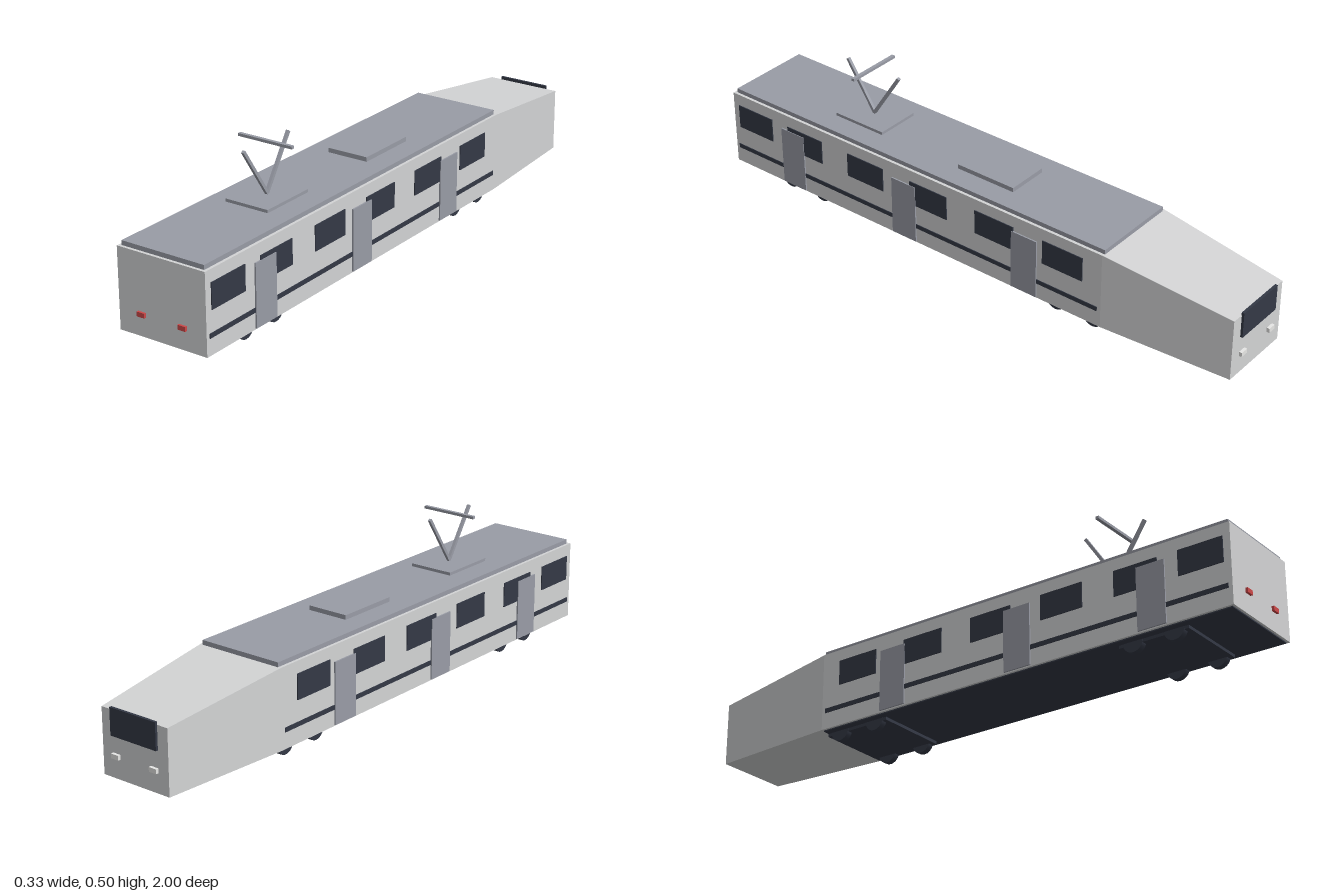
import * as THREE from 'three';

const mat = (name, color) => {
  const m = new THREE.MeshStandardMaterial({ color });
  m.name = name;
  return m;
};

export function createModel() {
  const shell = mat('pale grey shell', 0xd3d4d5);
  const grey = mat('mid grey', 0x999ca6);
  const dark = mat('dark slate', 0x343946);
  const red = mat('tail light red', 0xcc4848);
  const white = mat('headlight white', 0xe8e8e6);

  const tram = new THREE.Group();
  tram.name = 'tram';

  const add = (name, geometry, material, x = 0, y = 0, z = 0, parent = tram) => {
    const mesh = new THREE.Mesh(geometry, material);
    mesh.name = name;
    mesh.position.set(x, y, z);
    parent.add(mesh);
    return mesh;
  };
  // Box given by its extents along each axis
  const block = (name, material, [x0, x1], [y0, y1], [z0, z1], parent = tram) =>
    add(name, new THREE.BoxGeometry(x1 - x0, y1 - y0, z1 - z0), material,
      (x0 + x1) / 2, (y0 + y1) / 2, (z0 + z1) / 2, parent);

  // Passenger body, underframe and roof
  block('body', shell, [-0.16, 0.16], [0.038, 0.302], [-0.54, 0.99]);
  block('underframe', dark, [-0.152, 0.152], [0.034, 0.04], [-0.537, 0.982]);
  block('roof', grey, [-0.15, 0.15], [0.3, 0.317], [-0.543, 0.98]);
  block('roofUnit', grey, [-0.073, 0.073], [0.315, 0.332], [-0.135, 0.085]);

  // Nose: a box whose far end is narrowed and lowered
  const noseGeo = new THREE.BoxGeometry(0.32, 0.264, 0.45);
  const p = noseGeo.attributes.position;
  for (let i = 0; i < p.count; i++) {
    if (p.getZ(i) < 0) {
      p.setX(i, p.getX(i) * 0.81);
      if (p.getY(i) > 0) p.setY(i, 0.08);
    }
  }
  noseGeo.computeVertexNormals();
  add('nose', noseGeo, shell, 0, 0.17, -0.765);
  block('windscreen', dark, [-0.09, 0.09], [0.172, 0.26], [-0.998, -0.989]);

  // Sides: windows, doors, stripe and end lights, mirrored
  for (const s of [-1, 1]) {
    const side = s < 0 ? 'right' : 'left';
    const span = (a, b) => (s < 0 ? [-b, -a] : [a, b]);
    for (const z of [0.89, 0.667, 0.402, 0.137, -0.129, -0.394])
      block(side + 'Window', dark, span(0.158, 0.163), [0.178, 0.262], [z - 0.076, z + 0.076]);
    for (const z of [0.72, 0.238, -0.248])
      block(side + 'Door', grey, span(0.157, 0.165), [0.042, 0.248], [z - 0.049, z + 0.049]);
    block(side + 'Stripe', dark, span(0.158, 0.1625), [0.093, 0.108], [-0.527, 0.977]);
    block(side + 'TailLight', red, span(0.061, 0.089), [0.102, 0.117], [0.988, 0.998]);
    block(side + 'Headlight', white, span(0.061, 0.089), [0.102, 0.117], [-1, -0.988]);
  }

  // Bogies with two axles each
  const wheelGeo = new THREE.CylinderGeometry(0.035, 0.035, 0.02, 20).rotateZ(Math.PI / 2);
  for (const z of [0.702, -0.418]) {
    const bogie = new THREE.Group();
    bogie.name = 'bogie';
    bogie.position.z = z;
    tram.add(bogie);
    block('bogieFrame', dark, [-0.128, 0.128], [0.024, 0.039], [-0.12, 0.12], bogie);
    for (const x of [-0.119, 0.119])
      for (const dz of [-0.071, 0.071]) add('wheel', wheelGeo, dark, x, 0.035, dz, bogie);
  }

  // Pantograph: base plate, V arms and contact bar
  const panto = new THREE.Group();
  panto.name = 'pantograph';
  panto.position.z = 0.498;
  tram.add(panto);
  block('pantographBase', grey, [-0.078, 0.078], [0.322, 0.332], [-0.099, 0.099], panto);
  for (const s of [-1, 1]) {
    const lean = Math.atan2(0.108, 0.163);
    const arm = add('pantographArm', new THREE.BoxGeometry(0.01, 0.198, 0.01), grey,
      0, 0.417, s * 0.054, panto);
    arm.rotation.x = s * lean;
  }
  block('contactBar', grey, [-0.099, 0.099], [0.496, 0.505], [-0.006, 0.006], panto);

  return tram;
}
